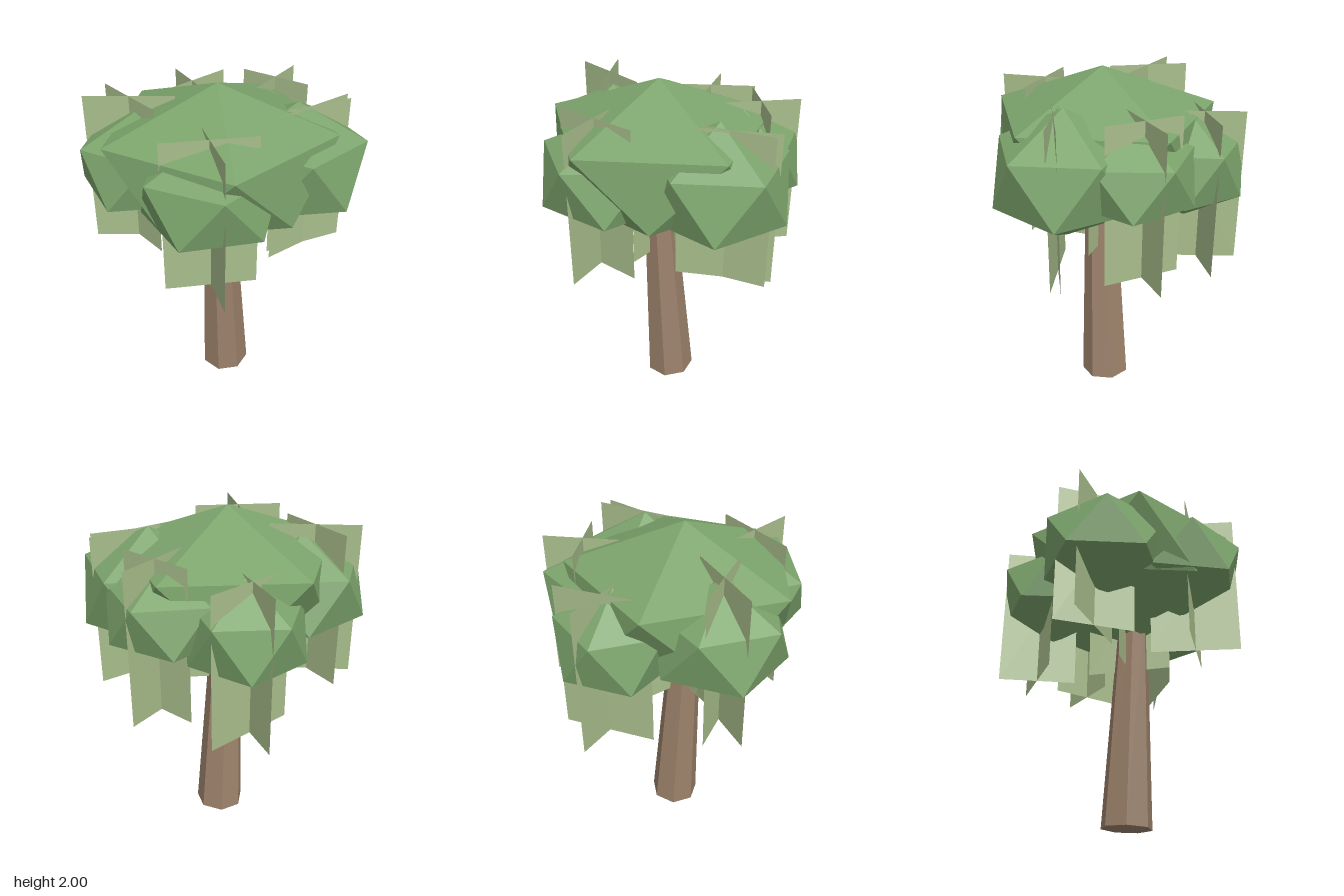
import * as THREE from 'three';

const leafMat = new THREE.MeshStandardMaterial({ color: 0x7ca46c, flatShading: true });
const cardMat = new THREE.MeshStandardMaterial({ color: 0xa9be8c, side: THREE.DoubleSide });
const barkMat = new THREE.MeshStandardMaterial({ color: 0x9c826b, flatShading: true });

// Squashed 20-sided clump: apex, two staggered five-point rings, bottom point.
// ring: ring radius, ry: half height, turn: degrees from +x towards +z, taper: lower ring scale
function clumpGeometry(ring, ry, turn, taper = 1) {
  const pos = [0, ry, 0, 0, -ry, 0];
  for (const [y, offset, scale] of [[0.447, 0, 1], [-0.447, 36, taper]]) {
    for (let i = 0; i < 5; i++) {
      const a = THREE.MathUtils.degToRad(turn + offset + i * 72);
      pos.push(Math.cos(a) * ring * scale, y * ry, Math.sin(a) * ring * scale);
    }
  }
  const index = [];
  for (let i = 0; i < 5; i++) {
    const j = (i + 1) % 5;
    const u = 2 + i, u2 = 2 + j, l = 7 + i, l2 = 7 + j;
    index.push(0, u2, u, u, u2, l, l2, l, u2, 1, l, l2);
  }
  const g = new THREE.BufferGeometry();
  g.setAttribute('position', new THREE.Float32BufferAttribute(pos, 3));
  g.setIndex(index);
  const flat = g.toNonIndexed();
  flat.computeVertexNormals();
  return flat;
}

// Upright leaf cards crossing at (x, z); each card is given by its half extent [dx, dz]
function leafCross(name, x, y, z, ...halves) {
  const cross = new THREE.Group();
  cross.name = name;
  cross.position.set(x, y, z);
  for (const [dx, dz] of halves) {
    const card = new THREE.Mesh(new THREE.PlaneGeometry(2 * Math.hypot(dx, dz), 0.89), cardMat);
    card.rotation.y = Math.atan2(-dz, dx);
    card.name = 'leafCard';
    cross.add(card);
  }
  return cross;
}

export function createModel() {
  const tree = new THREE.Group();
  tree.name = 'tree';

  // Leaning, tapered seven-sided trunk
  const foot = new THREE.Vector3(0.025, 0.01, -0.03);
  const head = new THREE.Vector3(-0.005, 1.3, 0.035);
  const axis = head.clone().sub(foot);
  const trunk = new THREE.Mesh(
    new THREE.CylinderGeometry(0.09, 0.148, axis.length(), 7, 1, false, -0.11), barkMat);
  trunk.name = 'trunk';
  trunk.quaternion.setFromUnitVectors(new THREE.Vector3(0, 1, 0), axis.clone().normalize());
  trunk.position.copy(foot).add(head).multiplyScalar(0.5);
  tree.add(trunk);

  // Foliage clumps: name, centre, ring radius, half height, turn, taper
  const clumps = [
    ['crown', -0.01, 1.56, 0.025, 0.66, 0.44, 0, 0.87],
    ['rightClump', -0.415, 1.54, 0.093, 0.355, 0.315, 0, 1.04],
    ['frontClump', 0.01, 1.53, 0.36, 0.372, 0.32, 67],
    ['leftClump', 0.413, 1.52, -0.085, 0.39, 0.36, 0],
    ['backLeftClump', 0.21, 1.53, -0.385, 0.335, 0.285, -76],
    ['backRightClump', -0.22, 1.475, -0.415, 0.325, 0.31, 0],
  ];
  for (const [name, x, y, z, ring, ry, turn, taper] of clumps) {
    const clump = new THREE.Mesh(clumpGeometry(ring, ry, turn, taper), leafMat);
    clump.name = name;
    clump.position.set(x, y, z);
    tree.add(clump);
  }

  // Crossed leaf cards hanging through the clumps
  const crosses = [
    ['crownLeaves', -0.015, 1.385, 0.01, [0.235, -0.08], [0.08, 0.235]],
    ['rightLeaves', -0.485, 1.465, 0.08, [0.245, -0.045], [0.18, 0.15]],
    ['frontLeaves', 0.03, 1.43, 0.44, [0.24, -0.085], [0.12, 0.23]],
    ['leftLeaves', 0.49, 1.415, -0.09, [0.2, -0.14], [0.18, -0.2]],
    ['backLeftLeaves', 0.24, 1.41, -0.48, [0.2, 0.09], [0.09, -0.205]],
    ['backRightLeaves', -0.265, 1.345, -0.49, [0.155, -0.215], [0.145, 0.175]],
  ];
  for (const cross of crosses) tree.add(leafCross(...cross));
  return tree;
}
